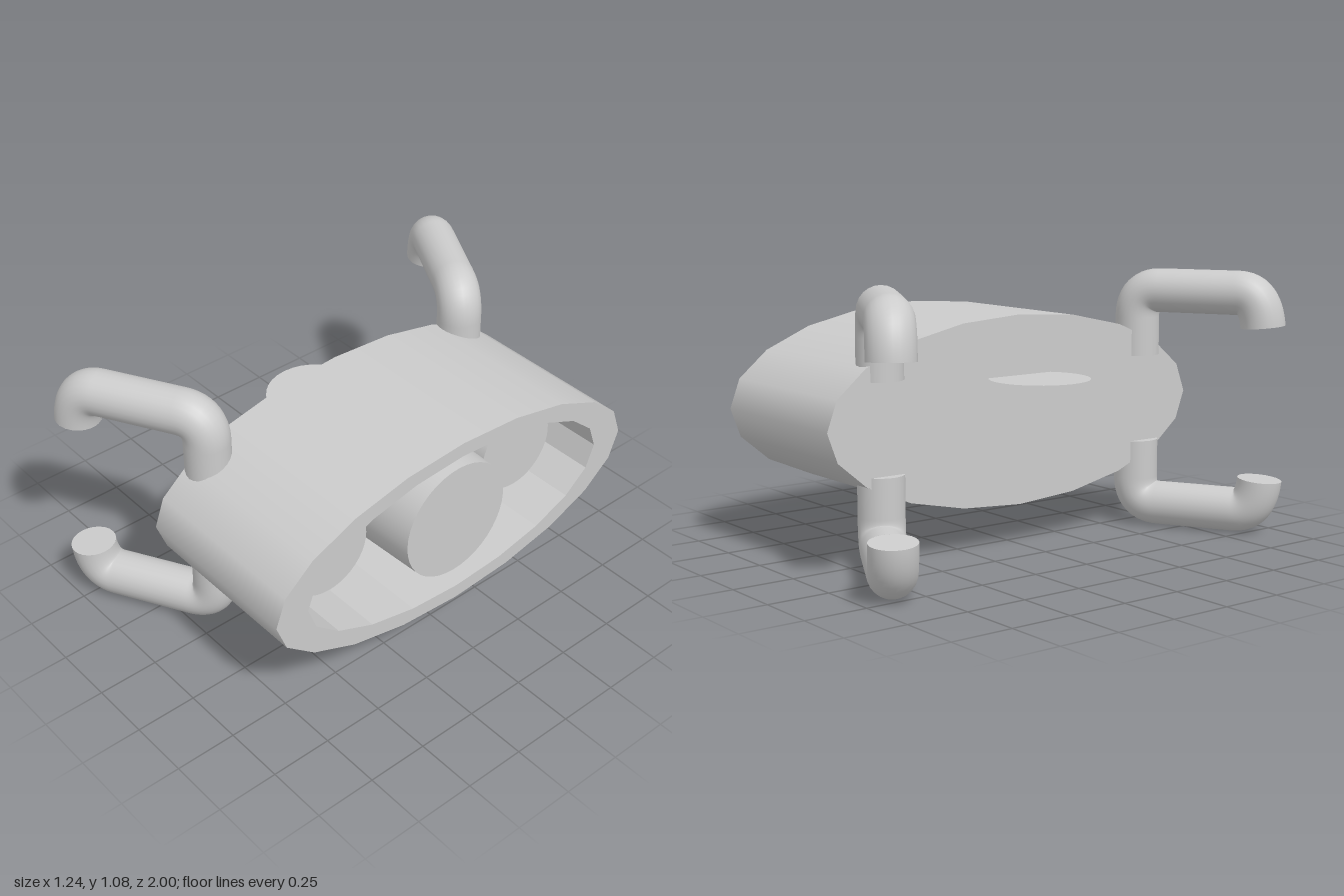
import * as THREE from 'three';

const CY = 0.56, CZ = -0.02; // centre of the housing
const smooth = new THREE.MeshStandardMaterial({ color: 0xcccccc, side: THREE.DoubleSide });
const flat = new THREE.MeshStandardMaterial({ color: 0xcccccc, side: THREE.DoubleSide, flatShading: true });

export function createModel() {
  const model = new THREE.Group();

  const add = (name, geometry, material = smooth) => {
    const mesh = new THREE.Mesh(geometry, material);
    mesh.name = name;
    model.add(mesh);
    return mesh;
  };

  // Cylinder lying along x, from x0 to x1, stretched to an ellipse
  const barrel = (x0, x1, r0, r1, ky, kz, z, sides, open) =>
    new THREE.CylinderGeometry(r1, r0, x1 - x0, sides, 1, open)
      .rotateZ(-Math.PI / 2)
      .scale(1, ky, kz)
      .translate((x0 + x1) / 2, CY, z);

  const ellipse = (Shape, ry, rz) => {
    const points = [];
    for (let i = 0; i < 20; i++) {
      const a = (i / 20) * Math.PI * 2;
      points.push(new THREE.Vector2(rz * Math.cos(a), ry * Math.sin(a)));
    }
    return new Shape(points);
  };
  const facing = (shape, x) =>
    new THREE.ShapeGeometry(shape).rotateY(Math.PI / 2).translate(x, CY, CZ);

  // Hollow oval housing, open towards +x
  add('housingWall', barrel(-0.11, 0.62, 1, 1, 0.38, 0.89, CZ, 20, true));
  add('housingRecess', barrel(0, 0.62, 1, 1, 0.32, 0.745, CZ, 20, true), flat);
  const rim = ellipse(THREE.Shape, 0.38, 0.89);
  rim.holes.push(ellipse(THREE.Path, 0.32, 0.745));
  add('housingRim', facing(rim, 0.62));
  add('recessFloor', facing(ellipse(THREE.Shape, 0.32, 0.745), 0));
  add('housingBack', facing(ellipse(THREE.Shape, 0.38, 0.89), -0.11).rotateX(0));

  // Tapered drums in the recess
  add('centreDrum', barrel(0, 0.6, 0.27, 0.25, 1, 1, CZ, 40, false));
  for (const s of [1, -1]) {
    add('sideDrum', barrel(0, 0.43, 0.2, 0.185, 1, 1, CZ + s * 0.49, 40, false));
    add('drumRing', new THREE.TorusGeometry(0.235, 0.022, 12, 40)
      .rotateY(Math.PI / 2).translate(0.06, CY, CZ + s * 0.27));
  }

  // Thin round plate standing out from the back
  add('backPlate', new THREE.CircleGeometry(0.2, 32)
    .rotateX(-Math.PI / 2).translate(-0.235, 0.7, CZ));

  // Four bent pipes: up out of the housing, outwards, then back to mid height
  for (const sy of [1, -1]) {
    for (const sz of [1, -1]) {
      const p = (x, y, z) => new THREE.Vector3(x, 0.55 + sy * y, sz * z);
      const path = new THREE.CurvePath();
      path.add(new THREE.LineCurve3(p(-0.06, 0.18, 0.645), p(-0.06, 0.34, 0.645)));
      path.add(new THREE.QuadraticBezierCurve3(
        p(-0.06, 0.34, 0.645), p(-0.06, 0.45, 0.645), p(-0.15, 0.45, 0.695)));
      path.add(new THREE.LineCurve3(p(-0.15, 0.45, 0.695), p(-0.44, 0.45, 0.855)));
      path.add(new THREE.QuadraticBezierCurve3(
        p(-0.44, 0.45, 0.855), p(-0.52, 0.45, 0.9), p(-0.53, 0.315, 0.907)));
      add('pipe', new THREE.TubeGeometry(path, 64, 0.091, 24, false));

      // Flat caps on both pipe ends
      for (const t of [0, 1]) {
        const cap = add('pipeCap', new THREE.CircleGeometry(0.091, 24));
        const out = path.getTangent(t).multiplyScalar(t ? 1 : -1);
        cap.quaternion.setFromUnitVectors(new THREE.Vector3(0, 0, 1), out);
        cap.position.copy(path.getPoint(t));
      }
    }
  }
  return model;
}
